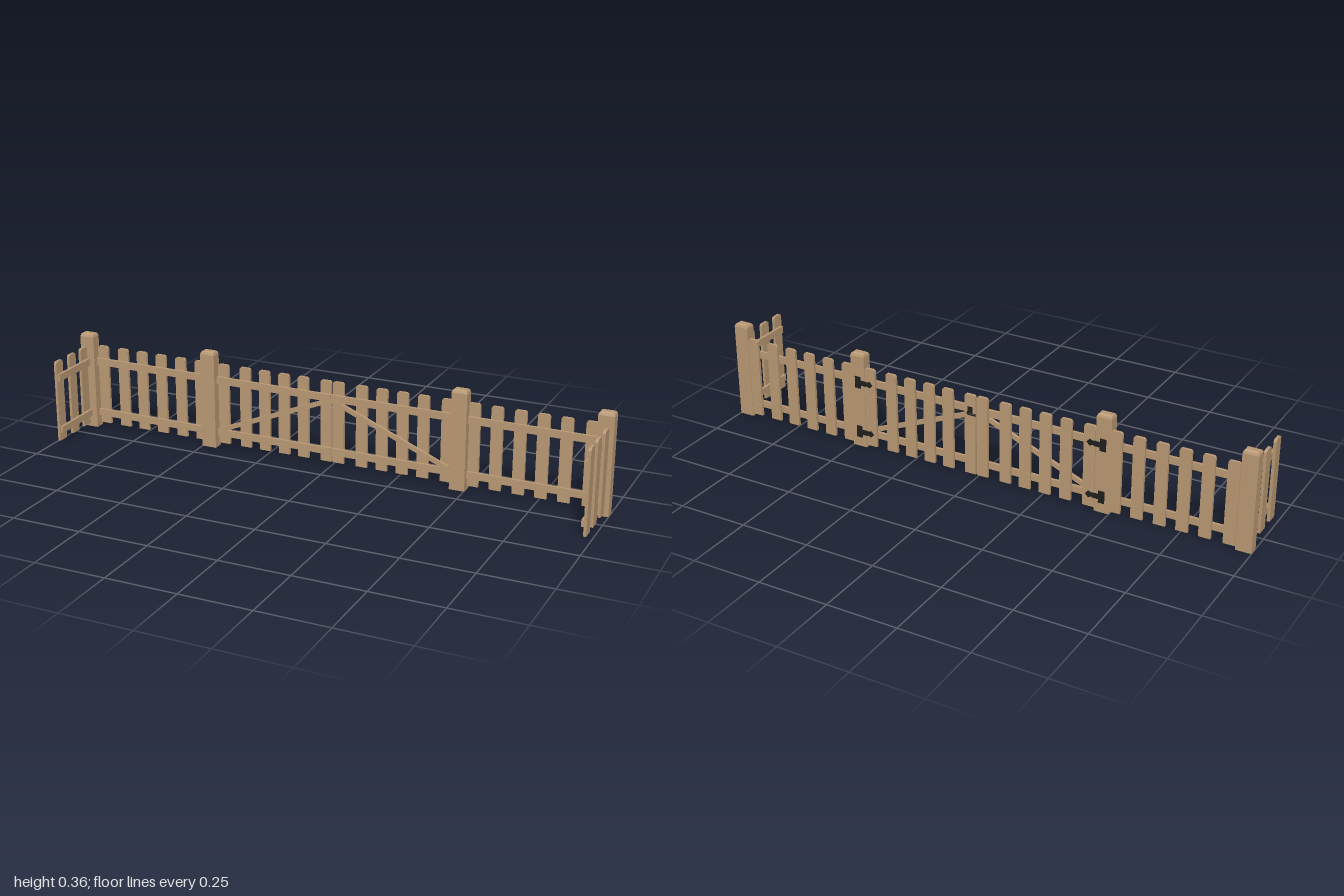
import * as THREE from 'three';

const wood = new THREE.MeshStandardMaterial({ color: 0xb99873 });
wood.name = 'wood';
const iron = new THREE.MeshStandardMaterial({ color: 0x1f1f1c });
iron.name = 'black iron';

function add(parent, name, geometry, material, x = 0, y = 0, z = 0) {
  const mesh = new THREE.Mesh(geometry, material);
  mesh.name = name;
  mesh.position.set(x, y, z);
  parent.add(mesh);
  return mesh;
}

// Box given by its two extreme corners
function block(parent, name, material, [x0, x1], [y0, y1], [z0, z1]) {
  return add(parent, name, new THREE.BoxGeometry(x1 - x0, y1 - y0, z1 - z0), material,
    (x0 + x1) / 2, (y0 + y1) / 2, (z0 + z1) / 2);
}

// Flat board with clipped top corners
const W = 0.021, BOTTOM = 0.012, TOP = 0.311, THICK = 0.01;
const picketShape = new THREE.Shape([
  [-W, BOTTOM], [W, BOTTOM], [W, TOP - 0.008], [W - 0.002, TOP - 0.003], [W - 0.007, TOP],
  [-W + 0.007, TOP], [-W + 0.002, TOP - 0.003], [-W, TOP - 0.008],
].map(([x, y]) => new THREE.Vector2(x, y)));
const picketGeometry = new THREE.ExtrudeGeometry(picketShape, { depth: THICK, bevelEnabled: false });
picketGeometry.translate(0, 0, -THICK / 2);

// Square post: rings of four corners stacked up to a bevelled top
function postGeometry(w, d) {
  const rings = [[0, 0], [0.348, 0], [0.356, 0.003], [0.36, 0.009]];
  const ring = ([y, inset]) => [[-1, 1], [1, 1], [1, -1], [-1, -1]]
    .map(([sx, sz]) => [sx * (w / 2 - inset), y, sz * (d / 2 - inset)]);
  const pts = [];
  const quad = (a, b, c, e) => pts.push(...a, ...b, ...c, ...a, ...c, ...e);
  for (let i = 0; i < rings.length - 1; i++) {
    const lo = ring(rings[i]), hi = ring(rings[i + 1]);
    for (let k = 0; k < 4; k++) quad(lo[k], lo[(k + 1) % 4], hi[(k + 1) % 4], hi[k]);
  }
  quad(...ring(rings[rings.length - 1]));
  quad(...ring(rings[0]).reverse());
  const g = new THREE.BufferGeometry();
  g.setAttribute('position', new THREE.Float32BufferAttribute(pts, 3));
  g.computeVertexNormals();
  return g;
}

const RAILS = [[0.042, 0.067], [0.239, 0.265]];
const BACK = -0.1; // middle plane of the back row of pickets
const RAIL_Z = [-0.095, -0.085];

export function createModel() {
  const model = new THREE.Group();
  model.name = 'gardenFence';
  const post = postGeometry(0.055, 0.037);

  for (const s of [-1, 1]) {
    const span = (a, b) => (s > 0 ? [a, b] : [-b, -a]);
    const side = s > 0 ? 'left' : 'right';

    // Posts
    add(model, side + 'CornerPost', post, wood, s * 0.972, 0, -0.0865);
    add(model, side + 'GatePost', post, wood, s * 0.474, 0, -0.0865);

    // Fixed panel between gate post and corner post
    const panel = new THREE.Group();
    panel.name = side + 'BackPanel';
    model.add(panel);
    for (const x of [0.519, 0.599, 0.68, 0.759, 0.838, 0.922])
      add(panel, 'picket', picketGeometry, wood, s * x, 0, BACK);
    for (const y of RAILS) block(panel, 'rail', wood, span(0.49, 0.96), y, RAIL_Z);

    // Gate leaf with diagonal brace
    const gate = new THREE.Group();
    gate.name = side + 'GateLeaf';
    model.add(gate);
    for (const x of [0.0235, 0.111, 0.186, 0.262, 0.338, 0.424])
      add(gate, 'picket', picketGeometry, wood, s * x, 0, BACK);
    for (const y of RAILS) block(gate, 'rail', wood, span(0.001, 0.446), y, RAIL_Z);
    const dx = 0.435, dy = -0.18;
    const brace = add(gate, 'brace',
      new THREE.BoxGeometry(Math.hypot(dx, dy), 0.016, 0.011), wood, s * dx / 2, 0.155, -0.0895);
    brace.rotation.z = s * Math.atan2(dy, dx);

    // T-shaped hinges on the back of the gate
    for (const y of [0.058, 0.25]) {
      const hinge = new THREE.Group();
      hinge.name = side + 'Hinge';
      model.add(hinge);
      block(hinge, 'hingePlate', iron, span(0.462, 0.484), [y - 0.022, y + 0.022], [-0.108, -0.104]);
      block(hinge, 'hingeKnuckle', iron, span(0.44, 0.462), [y - 0.009, y + 0.009], [-0.109, -0.104]);
      const strap = new THREE.Shape([[0.44, -0.006], [0.425, -0.012], [0.414, 0], [0.425, 0.012], [0.44, 0.006]]
        .map(([x, v]) => new THREE.Vector2(s * x, y + v)));
      add(hinge, 'hingeStrap', new THREE.ExtrudeGeometry(strap, { depth: 0.003, bevelEnabled: false }),
        iron, 0, 0, -0.1075);
    }

    // Short side return running forward, pickets on the outside
    const wing = new THREE.Group();
    wing.name = side + 'SidePanel';
    model.add(wing);
    for (const z of s > 0 ? [-0.047, 0.0375, 0.1145] : [-0.047, 0.0285, 0.1125])
      add(wing, 'picket', picketGeometry, wood, s * 0.979, 0, z).rotation.y = Math.PI / 2;
    for (const y of RAILS) block(wing, 'rail', wood, span(0.964, 0.974), y, [-0.075, 0.13]);
  }

  // Bent lever handle on the back of the gate
  const handle = new THREE.Group();
  handle.name = 'gateHandle';
  model.add(handle);
  const path = new THREE.CatmullRomCurve3([[0.023, -0.104], [0.023, -0.119], [0.017, -0.128], [0.006, -0.129], [-0.01, -0.129]]
    .map(([x, z]) => new THREE.Vector3(x, 0.252, z)));
  add(handle, 'lever', new THREE.TubeGeometry(path, 20, 0.004, 8), iron);
  add(handle, 'leverEnd', new THREE.SphereGeometry(0.004, 8, 6), iron, -0.01, 0.252, -0.129);
  block(handle, 'handlePlate', iron, [0.014, 0.032], [0.238, 0.266], [-0.107, -0.104]);
  return model;
}
